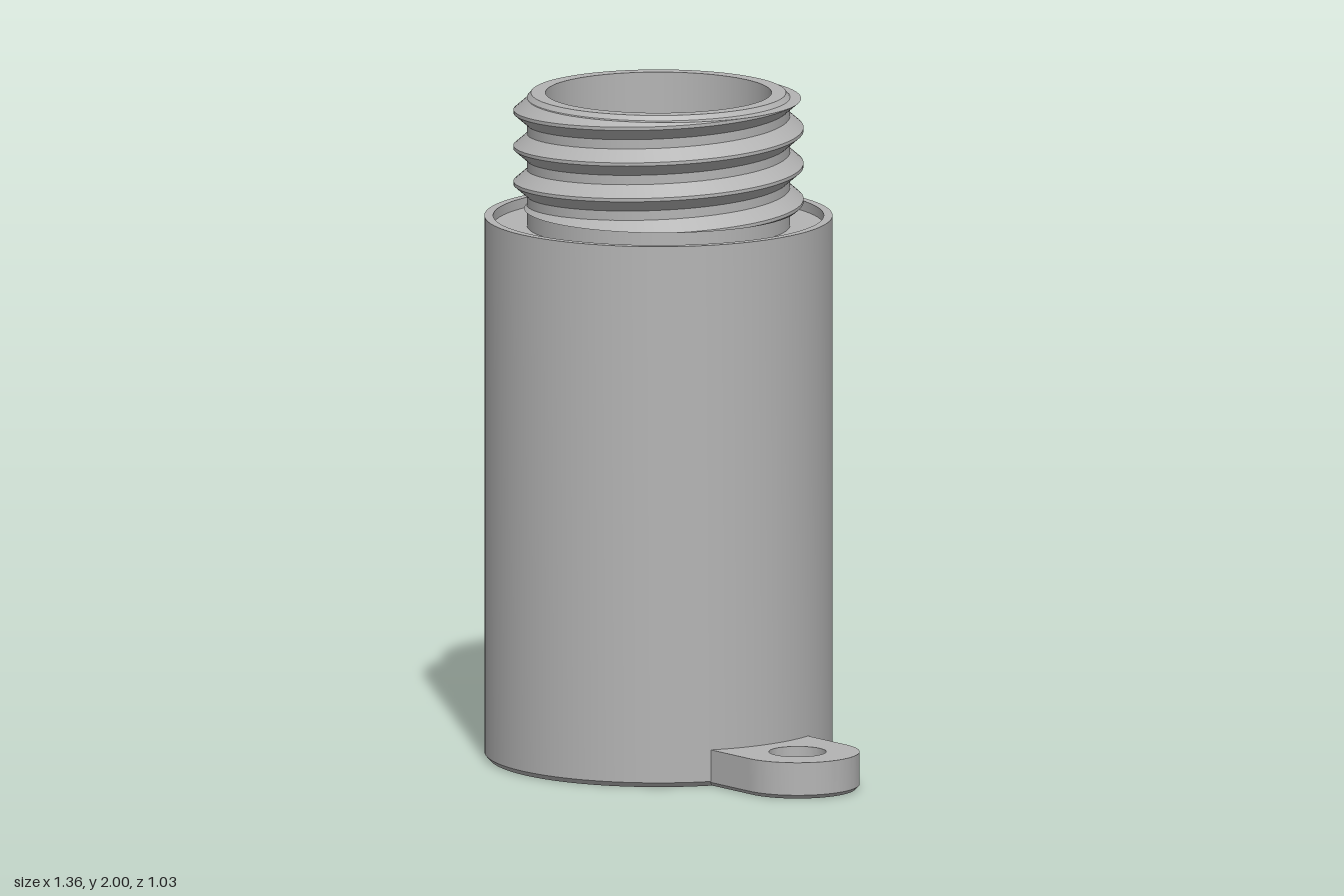
import * as THREE from 'three';
import { toCreasedNormals } from 'three/addons/utils/BufferGeometryUtils.js';

const AXIS_X = -0.167; // bottle axis; the lug sticks out to +x

// Helical ridge on the neck, trimmed flat at its lower and upper limits
function threadGeometry() {
  const root = 0.385, crest = 0.43, half = 0.044, tip = 0.005;
  const yMin = 1.655, yMax = 1.986, start = 1.66, pitch = 0.1075;
  const t0 = -0.42, t1 = 3.48, steps = 380;
  const radiusAt = (dy) =>
    root + (crest - root) * THREE.MathUtils.clamp((half - Math.abs(dy)) / (half - tip), 0, 1);
  const positions = [], indices = [];
  const offsets = [-half, -half, -tip, tip, half, half];
  const n = offsets.length;
  for (let i = 0; i <= steps; i++) {
    const t = t0 + (t1 - t0) * i / steps;
    const a = t * Math.PI * 2, yc = start + pitch * t;
    offsets.forEach((o, j) => {
      const y = THREE.MathUtils.clamp(yc + o, yMin, yMax);
      const r = j === 0 || j === n - 1 ? root - 0.005 : radiusAt(y - yc);
      positions.push(r * Math.cos(a), y, -r * Math.sin(a));
      if (i < steps && j < n - 1) {
        const p = i * n + j, q = p + n;
        indices.push(p, q, p + 1, q, q + 1, p + 1);
      }
    });
  }
  const g = new THREE.BufferGeometry();
  g.setAttribute('position', new THREE.Float32BufferAttribute(positions, 3));
  g.setIndex(indices);
  return toCreasedNormals(g, 0.4);
}

// Flat lug with a round end and a hole, chamfered along the bottom only
function lugGeometry() {
  const cx = 0.496, w = 0.184, height = 0.11, chamfer = 0.012;
  const shape = new THREE.Shape();
  shape.moveTo(0.25, -w);
  shape.lineTo(cx, -w);
  shape.absarc(cx, 0, w, -Math.PI / 2, Math.PI / 2, false);
  shape.lineTo(0.25, w);
  shape.closePath();
  const hole = new THREE.Path();
  hole.absarc(cx, 0, 0.085, 0, Math.PI * 2, true);
  shape.holes.push(hole);
  const depth = height - chamfer;
  const g = new THREE.ExtrudeGeometry(shape, {
    depth, curveSegments: 32, bevelEnabled: true, bevelSegments: 1,
    bevelThickness: chamfer, bevelSize: chamfer, bevelOffset: -chamfer,
  });
  // Flatten the upper bevel into the top face
  const p = g.attributes.position;
  for (let i = 0; i < p.count; i++) p.setZ(i, Math.min(p.getZ(i), depth));
  g.rotateX(-Math.PI / 2);
  g.translate(0, chamfer, 0);
  return toCreasedNormals(g, 0.5);
}

export function createModel() {
  const model = new THREE.Group();
  model.name = 'threadedContainer';
  const grey = new THREE.MeshStandardMaterial({ color: 0xb4b4b4, side: THREE.DoubleSide });
  grey.name = 'grey';

  const add = (name, geometry, x) => {
    const mesh = new THREE.Mesh(geometry, grey);
    mesh.name = name;
    mesh.position.x = x;
    model.add(mesh);
  };

  // Hollow body: chamfered base, raised rim, recessed shoulder, neck and cavity
  const profile = [
    [0, 0], [0.503, 0], [0.516, 0.015], [0.516, 1.63], [0.49, 1.63], [0.49, 1.6],
    [0.39, 1.6], [0.39, 1.986], [0.378, 2], [0.335, 2], [0.335, 0.08], [0, 0.08],
  ].map(([r, y]) => new THREE.Vector2(r, y));
  add('body', toCreasedNormals(new THREE.LatheGeometry(profile, 96), 0.5), AXIS_X);

  add('screwThread', threadGeometry(), AXIS_X);
  add('lug', lugGeometry(), 0);
  return model;
}
